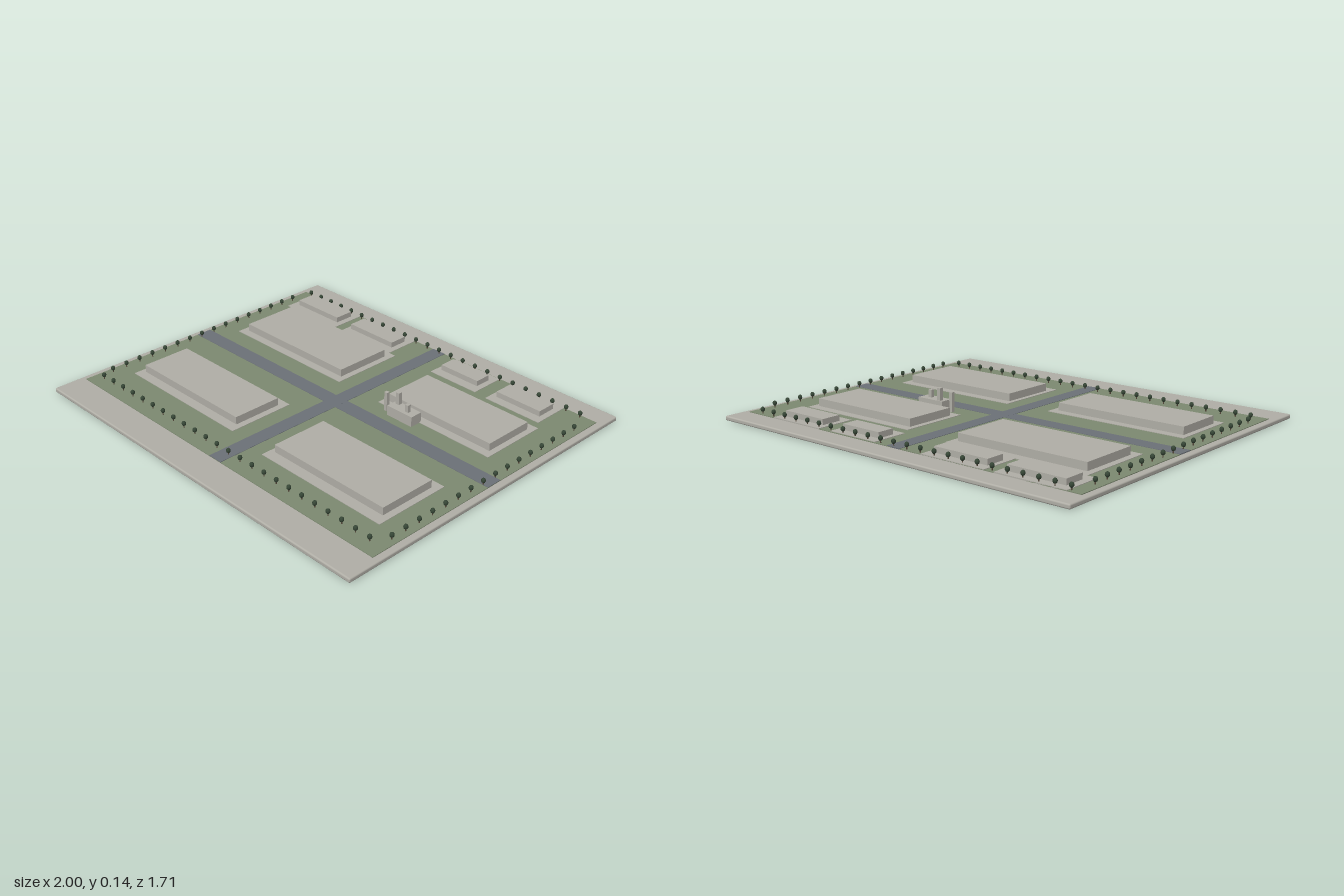
import * as THREE from 'three';
import { RoundedBoxGeometry } from 'three/addons/geometries/RoundedBoxGeometry.js';

const material = (name, color) => {
  const m = new THREE.MeshStandardMaterial({ color });
  m.name = name;
  return m;
};

export function createModel() {
  const group = new THREE.Group();
  const concrete = material('concrete', 0xb0aea6);
  const grass = material('grass', 0x7c8970);
  const asphalt = material('asphalt', 0x6b7077);
  const foliage = material('foliage', 0x364636);
  const bark = material('bark', 0x574a3c);

  // Box given by its extents on each axis
  const block = (name, mat, x0, x1, z0, z1, y0, y1, parent = group) => {
    const mesh = new THREE.Mesh(new THREE.BoxGeometry(x1 - x0, y1 - y0, z1 - z0), mat);
    mesh.position.set((x0 + x1) / 2, (y0 + y1) / 2, (z0 + z1) / 2);
    mesh.name = name;
    parent.add(mesh);
    return mesh;
  };

  // Base slab with softened edges
  const base = new THREE.Mesh(new RoundedBoxGeometry(2, 0.022, 1.71, 3, 0.007), concrete);
  base.position.y = 0.011;
  base.name = 'baseSlab';
  group.add(base);

  // Lawn and crossing roads
  block('lawn', grass, -0.968, 0.968, -0.74, 0.70, 0.015, 0.025);
  block('longRoad', asphalt, -0.968, 0.968, -0.06, 0.02, 0.018, 0.0265);
  block('crossRoad', asphalt, -0.022, 0.053, -0.74, 0.70, 0.018, 0.0267);

  // Each lot: paved pad extents, hall extents, roof height
  const lots = [
    [[-0.90, -0.54, -0.74, -0.545], [-0.866, -0.572, -0.698, -0.596], 0.055],
    [[-0.49, -0.145, -0.74, -0.545], [-0.467, -0.176, -0.692, -0.596], 0.055],
    [[0.13, 0.41, -0.735, -0.553], [0.155, 0.38, -0.687, -0.602], 0.055],
    [[0.48, 0.79, -0.74, -0.545], [0.508, 0.76, -0.692, -0.591], 0.055],
    [[-0.85, -0.103, -0.545, -0.158], [-0.818, -0.134, -0.50, -0.20], 0.065],
    [[0.16, 0.82, -0.505, -0.158], [0.187, 0.791, -0.463, -0.20], 0.065],
    [[-0.85, -0.107, 0.158, 0.50], [-0.823, -0.139, 0.20, 0.452], 0.065],
    [[0.13, 0.84, 0.147, 0.532], [0.155, 0.807, 0.19, 0.479], 0.065],
  ];
  for (const [pad, hall, top] of lots) {
    block('pavedPad', concrete, ...pad, 0.018, 0.0275);
    block('hall', concrete, ...hall, 0.027, top);
  }

  // Boiler house with three stacks
  const plant = new THREE.Group();
  plant.name = 'boilerHouse';
  group.add(plant);
  block('boilerBlock', concrete, 0.267, 0.417, -0.168, -0.104, 0.024, 0.075, plant);
  for (const [x, z, w, foot, top] of [
    [0.235, -0.134, 0.017, 0.024, 0.12],
    [0.293, -0.152, 0.02, 0.074, 0.135],
    [0.37, -0.13, 0.018, 0.074, 0.112],
  ]) block('stack', concrete, x - w / 2, x + w / 2, z - w / 2, z + w / 2, foot, top, plant);

  // Trees lining the four edges
  const crownGeometry = new THREE.SphereGeometry(0.0105, 10, 8);
  const trunkGeometry = new THREE.CylinderGeometry(0.0025, 0.003, 0.018, 6);
  const addTree = (x, z) => {
    const tree = new THREE.Group();
    tree.name = 'tree';
    const trunk = new THREE.Mesh(trunkGeometry, bark);
    trunk.name = 'trunk';
    trunk.position.y = 0.032;
    const crown = new THREE.Mesh(crownGeometry, foliage);
    crown.name = 'crown';
    crown.scale.y = 1.15;
    crown.position.y = 0.046;
    tree.add(trunk, crown);
    tree.position.set(x, 0, z);
    group.add(tree);
  };
  for (let i = 0; i < 24; i++) {
    const x = -0.909 + i * 0.0781;
    addTree(x, -0.724);
    addTree(x, 0.635);
  }
  for (let i = 0; i < 16; i++) {
    const z = -0.61 + i * 0.0783;
    addTree(-0.936, z);
    addTree(0.939, z);
  }
  return group;
}
